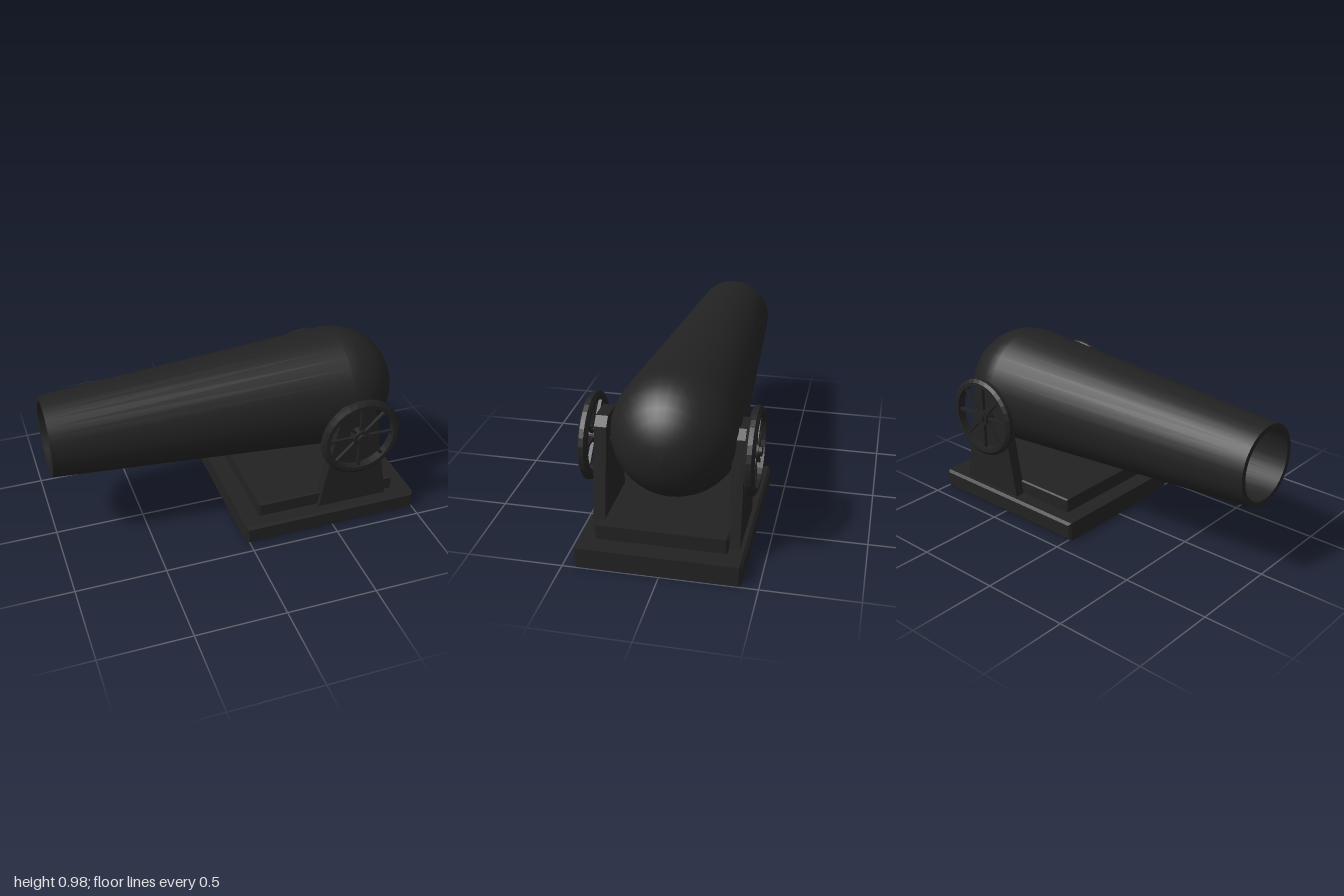
import * as THREE from 'three';

const dark = { color: 0x222222 };
const smooth = new THREE.MeshStandardMaterial({ ...dark, side: THREE.DoubleSide });
const flat = new THREE.MeshStandardMaterial({ ...dark, flatShading: true });

function add(parent, name, geometry, material, x = 0, y = 0, z = 0) {
  const mesh = new THREE.Mesh(geometry, material);
  mesh.name = name;
  mesh.position.set(x, y, z);
  parent.add(mesh);
  return mesh;
}

const shapeOf = (pts) => new THREE.Shape(pts.map(([x, y]) => new THREE.Vector2(x, y)));

// Box with a chamfer on every edge
function chamferBox(w, h, d, c) {
  const a = w / 2 - c, b = h / 2 - c;
  const g = new THREE.ExtrudeGeometry(shapeOf([[-a, -b], [a, -b], [a, b], [-a, b]]), {
    depth: d - 2 * c, bevelSize: c, bevelThickness: c, bevelSegments: 1,
  });
  return g.translate(0, 0, -(d - 2 * c) / 2);
}

const lathe = (pts, seg = 32) =>
  new THREE.LatheGeometry(pts.map(([x, y]) => new THREE.Vector2(x, y)), seg);

// Tapered tube closed by a hemisphere, along +y
function barrelProfile(muzzleR, breechR, breechY) {
  const pts = [[muzzleR, -1]];
  for (let i = 0; i <= 8; i++) {
    const t = (i / 8) * Math.PI / 2;
    pts.push([i === 8 ? 0 : breechR * Math.cos(t), breechY + breechR * Math.sin(t)]);
  }
  return pts;
}

function createBarrel() {
  const barrel = new THREE.Group();
  barrel.name = 'barrel';
  add(barrel, 'barrelShell', lathe(barrelProfile(0.22, 0.333, 0.645)), smooth);
  add(barrel, 'bore', lathe(barrelProfile(0.19, 0.303, 0.645).reverse()), smooth);
  add(barrel, 'muzzleRim', lathe([[0.19, -1], [0.22, -1]]), smooth);
  barrel.rotation.z = -Math.PI / 2;
  barrel.position.set(0, 0.645, -0.022);
  return barrel;
}

// Spoked wheel lying in the xy plane, outer side towards +z
function createWheel() {
  const wheel = new THREE.Group();
  wheel.name = 'wheel';
  const rim = lathe([[0.188, -0.025], [0.21, -0.025], [0.228, -0.012], [0.228, 0.012],
    [0.21, 0.025], [0.188, 0.025], [0.188, -0.025]]);
  add(wheel, 'rim', rim.rotateX(Math.PI / 2), flat);
  for (let i = 0; i < 8; i++) {
    const spoke = new THREE.BoxGeometry(0.165, 0.016, 0.018).translate(0.11, 0, 0);
    add(wheel, 'spoke', spoke.rotateZ(i * Math.PI / 4), flat);
  }
  add(wheel, 'hub', new THREE.CylinderGeometry(0.045, 0.045, 0.04, 24).rotateX(Math.PI / 2), flat);
  add(wheel, 'hubCap', new THREE.CylinderGeometry(0.028, 0.028, 0.06, 16).rotateX(Math.PI / 2), flat, 0, 0, 0.005);
  return wheel;
}

// Upright, axle stub and wheel of one side
function createSide(dir) {
  const side = new THREE.Group();
  side.name = dir > 0 ? 'frontSide' : 'backSide';
  const outline = shapeOf([[-0.205, 0.105], [0.205, 0.105], [0.105, 0.67], [0.065, 0.715],
    [-0.065, 0.715], [-0.105, 0.67]]);
  const upright = new THREE.ExtrudeGeometry(outline, { depth: 0.063, bevelEnabled: false });
  add(side, 'upright', upright, flat, 0, 0, 0.317);
  const axle = new THREE.CylinderGeometry(0.045, 0.045, 0.115, 24).rotateX(Math.PI / 2);
  add(side, 'axle', axle, flat, 0, 0.565, 0.3475);
  const wheel = createWheel();
  wheel.position.set(0, 0.567, 0.415);
  side.add(wheel);
  side.position.x = 0.635;
  if (dir < 0) side.rotation.y = Math.PI;
  return side;
}

export function createModel() {
  const model = new THREE.Group();
  model.name = 'cannon';
  // Stepped base
  add(model, 'basePlate', chamferBox(1.015, 0.11, 0.855, 0.014), flat, 0.4875, 0.055, 0.0125);
  add(model, 'upperPlate', chamferBox(0.81, 0.09, 0.68, 0.008), flat, 0.485, 0.145, 0.015);
  model.add(createSide(1), createSide(-1), createBarrel());
  return model;
}
